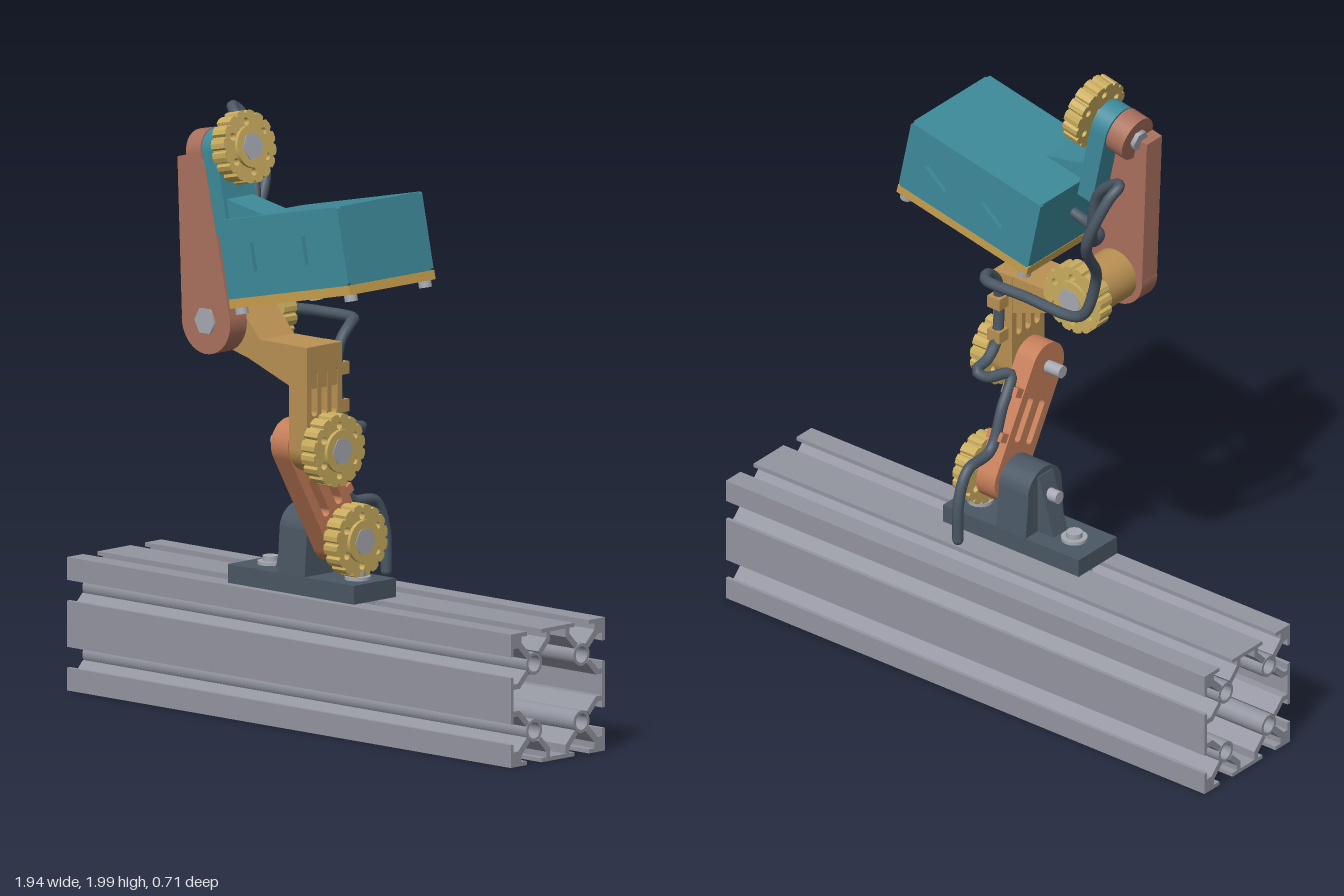
import * as THREE from 'three';

const colours = {
  aluminium: 0x9395a0, slate: 0x4a5764, steel: 0xa6a9b2, gold: 0xc9ac5e, tan: 0xba9153,
  copper: 0xc57e59, clay: 0xaa705d, teal: 0x3e8a9a, amber: 0xc8a04e,
};
const mats = {};
for (const [name, color] of Object.entries(colours)) {
  mats[name] = new THREE.MeshStandardMaterial({ color });
  mats[name].name = name;
}

function add(parent, name, geo, mat, x = 0, y = 0, z = 0) {
  const m = new THREE.Mesh(geo, mats[mat]);
  m.name = name;
  m.position.set(x, y, z);
  parent.add(m);
  return m;
}
const box = (p, name, mat, w, h, d, x, y, z) => add(p, name, new THREE.BoxGeometry(w, h, d), mat, x, y, z);
const poly = pts => new THREE.Shape(pts.map(([x, y]) => new THREE.Vector2(x, y)));
const extrude = (shape, depth) => new THREE.ExtrudeGeometry(shape, { depth, bevelEnabled: false, curveSegments: 24 });
const circle = (x, y, r) => new THREE.Path().absarc(x, y, r, 0, Math.PI * 2, true);

// Rounded bar outline running up from (x, y0) to (x, y1)
function stadium(x, y0, y1, r, Kind = THREE.Shape) {
  return new Kind().absarc(x, y0, r, Math.PI, Math.PI * 2, false).absarc(x, y1, r, 0, Math.PI, false).closePath();
}

// A group whose +z looks along the model's +x, for parts turning about x
function alongX(parent, name, x, y, z) {
  const g = new THREE.Group();
  g.name = name;
  g.position.set(x, y, z);
  g.rotation.y = Math.PI / 2;
  parent.add(g);
  return g;
}

// Cylinder along the local z axis, from z0 to z1
function pin(parent, name, mat, r, z0, z1, sides = 28, x = 0, y = 0) {
  const geo = new THREE.CylinderGeometry(r, r, z1 - z0, sides).rotateX(Math.PI / 2);
  if (sides < 8) geo.rotateZ(Math.PI / 6);
  return add(parent, name, geo, mat, x, y, (z0 + z1) / 2);
}

// Notched thumb wheel with a ring of holes and a hex bolt on its +z face
function wheel(parent, name) {
  const pts = [], teeth = 16, step = Math.PI * 2 / teeth;
  for (let i = 0; i < teeth; i++) {
    for (const [f, r] of [[0, .106], [.12, .115], [.45, .117], [.78, .115], [.9, .106]]) {
      const a = (i + f) * step;
      pts.push([Math.cos(a) * r, Math.sin(a) * r]);
    }
  }
  const s = poly(pts);
  for (let i = 0; i < 6; i++) {
    const a = i * Math.PI / 3 + Math.PI / 6;
    s.holes.push(circle(Math.cos(a) * .08, Math.sin(a) * .08, .012));
  }
  add(parent, name, extrude(s, .058), 'gold');
  pin(parent, name + 'Hub', 'gold', .095, .02, .03);
  pin(parent, name + 'Rim', 'gold', .068, .05, .07);
  pin(parent, name + 'Bolt', 'steel', .045, .05, .073, 6);
}

// Slotted double rail, extruded along x
function buildRail(root) {
  const rail = alongX(root, 'rail', -.97, .2135, -.142);
  const corner = [[.14, .213], [.14, .2], [.165, .2], [.165, .18], [.125, .14], [.14, .125], [.18, .165],
    [.2, .165], [.2, .14], [.213, .14], [.213, .213]];
  const web = [[0, .213], [.074, .213], [.074, .2], [.052, .2], [.052, .182], [.09, .143], [.077, .13],
    [.035, .172], [.035, .2], [0, .2]];
  for (const sx of [-1, 1]) for (const sy of [-1, 1]) {
    const flip = pts => poly(pts.map(([x, y]) => [x * sx, y * sy]));
    const ring = new THREE.Shape().absarc(sx * .107, sy * .107, .036, 0, Math.PI * 2);
    ring.holes.push(circle(sx * .107, sy * .107, .026));
    for (const [name, s] of [['railCorner', flip(corner)], ['railWeb', flip(web)],
      ['railSideWeb', flip(web.map(([x, y]) => [y, x]))], ['railBore', ring]]) {
      add(rail, name, extrude(s, 1.94), 'aluminium');
    }
  }
}

// Foot plate with bearing block and first wheel
function buildBase(root) {
  box(root, 'footPlate', 'slate', .55, .06, .19, 0, .462, -.033);
  const block = alongX(root, 'bearingBlock', -.06, .62, -.033);
  const s = new THREE.Shape().moveTo(-.095, -.13).lineTo(.095, -.13).lineTo(.08, .02)
    .absarc(0, .005, .085, .18, Math.PI - .18, false).closePath();
  add(block, 'bearing', extrude(s, .12), 'slate');
  pin(block, 'baseShaft', 'steel', .021, -.06, .25);
  add(root, 'baseGusset', extrude(poly([[-.125, .49], [-.05, .49], [-.05, .69], [-.065, .69]]), .07), 'slate', 0, 0, -.068);
  for (const x of [-.18, .2]) {
    add(root, 'footWasher', new THREE.CylinderGeometry(.042, .042, .012, 24), 'steel', x, .497, -.033);
    add(root, 'footBolt', new THREE.CylinderGeometry(.026, .026, .03, 20), 'steel', x, .505, -.033);
    box(root, 'slotNut', 'steel', .1, .05, .06, x, .405, -.033);
  }
  wheel(alongX(root, 'baseJoint', .165, .617, -.03), 'baseWheel');
}

// Slotted lower link leaning forward
function buildLowerLink(root) {
  const link = alongX(root, 'lowerLink', .08, .617, -.03);
  link.rotation.set(0, Math.PI / 2, 0);
  const lean = new THREE.Group();
  lean.rotation.z = Math.atan2(.185, .323);
  link.add(lean);
  const s = stadium(0, 0, .372, .08);
  for (const x of [-.033, .033]) s.holes.push(stadium(x, .13, .25, .015, THREE.Path));
  add(lean, 'lowerLinkPlate', extrude(s, .075), 'copper');
  for (const y of [.12, .27]) box(lean, 'lowerCableClip', 'copper', .045, .03, .06, .09, y, .035);
  const elbow = alongX(root, 'elbowJoint', .245, .94, .155);
  wheel(elbow, 'elbowWheel');
  pin(elbow, 'elbowShaft', 'steel', .021, -.225, 0);
}

// Angled bracket: slotted upright and tapered arm reaching to the shoulder
function buildBracket(root) {
  const up = alongX(root, 'bracketUpright', .16, .94, .155);
  const s = new THREE.Shape().moveTo(.08, .33).lineTo(-.08, .33).lineTo(-.08, 0)
    .absarc(0, 0, .08, Math.PI, Math.PI * 2, false).closePath();
  for (const x of [-.045, 0, .045]) s.holes.push(stadium(x, .12, .24, .013, THREE.Path));
  add(up, 'uprightPlate', extrude(s, .077), 'tan');
  for (const y of [.12, .24]) box(up, 'upperCableClip', 'tan', .05, .04, .05, .1, y, .04);
  const arm = new THREE.Shape().moveTo(.235, 1.27).lineTo(.03, 1.27).lineTo(-.08, 1.388)
    .absarc(-.13, 1.32, .085, .94, -1.9, false).lineTo(-.02, 1.205).lineTo(.17, 1.135).lineTo(.235, 1.135).closePath();
  add(root, 'bracketArm', extrude(arm, .155), 'tan', 0, 0, .078);
  const joint = new THREE.Group();
  joint.position.set(-.13, 1.32, .075);
  joint.rotation.y = Math.PI;
  root.add(joint);
  joint.name = 'shoulderJoint';
  wheel(joint, 'shoulderWheel');
  pin(joint, 'shoulderBolt', 'steel', .045, -.243, -.1, 6);
}

// Tall tapered link in front of the shoulder
function buildUpperLink(root) {
  const s = new THREE.Shape().moveTo(-.165, 1.85).lineTo(-.255, 1.83).lineTo(-.235, 1.32)
    .absarc(-.13, 1.32, .106, Math.PI, Math.PI * 2 + .2, false).lineTo(-.135, 1.815).closePath();
  add(root, 'upperLink', extrude(s, .075), 'clay', 0, 0, .236);
}

// Tilted head: neck, hollow-looking case, bottom plate and top wheel
function buildHead(root) {
  const head = new THREE.Group();
  head.name = 'head';
  head.position.set(.005, 1.41, 0);
  head.rotation.z = THREE.MathUtils.degToRad(12);
  root.add(head);
  const joint = alongX(head, 'neckJoint', .025, .465, .235);
  wheel(joint, 'neckWheel');
  pin(joint, 'linkPad', 'clay', .075, -.153, -.088);
  pin(joint, 'neckBolt', 'steel', .035, -.168, 0, 6);
  const neck = new THREE.Shape().moveTo(-.075, -.265).lineTo(.075, -.265).lineTo(.075, 0)
    .absarc(0, 0, .073, 0, Math.PI, false).closePath();
  add(joint, 'neckPlate', extrude(neck, .062), 'teal', 0, 0, -.083);
  add(head, 'neckGusset', extrude(poly([[-.01, .24], [.155, .24], [.155, .25], [-.01, .318]]), .12), 'teal', 0, 0, .175);

  // Case core with side skins pierced by triangles
  box(head, 'case', 'teal', .535, .25, .355, .269, .125, .155);
  const skin = poly([[0, .006], [.006, 0], [.53, 0], [.536, .006], [.536, .244], [.53, .25], [.006, .25], [0, .244]]);
  for (const x of [.13, .36]) {
    skin.holes.push(new THREE.Path([[x, .075], [x, .175], [x + .095, .125]].map(p => new THREE.Vector2(...p))));
  }
  for (const z of [-.037, .332]) add(head, 'caseSkin', extrude(skin, .016), 'teal', 0, 0, z);

  // Bottom plate with round opening, slot and corner screws
  const plate = poly([[0, -.037], [.538, -.037], [.538, .348], [0, .348]]);
  plate.holes.push(circle(.27, .155, .065));
  plate.holes.push(new THREE.Path([[.42, .05], [.465, .05], [.465, .26], [.42, .26]].map(p => new THREE.Vector2(...p))));
  add(head, 'bottomPlate', extrude(plate, .03).rotateX(Math.PI / 2), 'amber');
  for (const x of [.025, .513]) for (const z of [-.012, .323]) {
    add(head, 'cornerScrew', new THREE.CylinderGeometry(.021, .021, .022, 18), 'steel', x, -.04, z);
  }
}

// Cable clipped along the whole arm
function buildCable(root) {
  const path = [[.115, .48, -.25], [.115, .62, -.245], [.115, .71, -.2], [.115, .73, -.09], [.115, .86, -.03],
    [.13, .95, .03], [.17, .955, -.04], [.2, .975, -.055], [.2, .99, 0], [.2, 1.04, .045], [.2, 1.25, .05],
    [.19, 1.31, -.01], [.16, 1.318, -.055], [0, 1.32, -.06], [-.2, 1.32, -.06], [-.245, 1.35, -.06],
    [-.295, 1.5, -.065], [-.37, 1.71, -.205], [-.43, 1.88, -.165], [-.44, 1.91, -.13], [-.41, 1.9, -.105],
    [-.32, 1.82, -.085], [-.285, 1.7, -.07], [-.25, 1.6, -.03], [-.19, 1.55, .08], [-.1, 1.52, .15], [0, 1.54, .16]];
  const curve = new THREE.CatmullRomCurve3(path.map(p => new THREE.Vector3(...p)), false, 'centripetal');
  add(root, 'cable', new THREE.TubeGeometry(curve, 260, .018, 10), 'slate');
  for (const i of [0, path.length - 1]) add(root, 'cableEnd', new THREE.SphereGeometry(.018, 12, 8), 'slate', ...path[i]);
}

export function createModel() {
  const root = new THREE.Group();
  root.name = 'robotArm';
  for (const build of [buildRail, buildBase, buildLowerLink, buildBracket, buildUpperLink, buildHead, buildCable]) build(root);
  return root;
}
